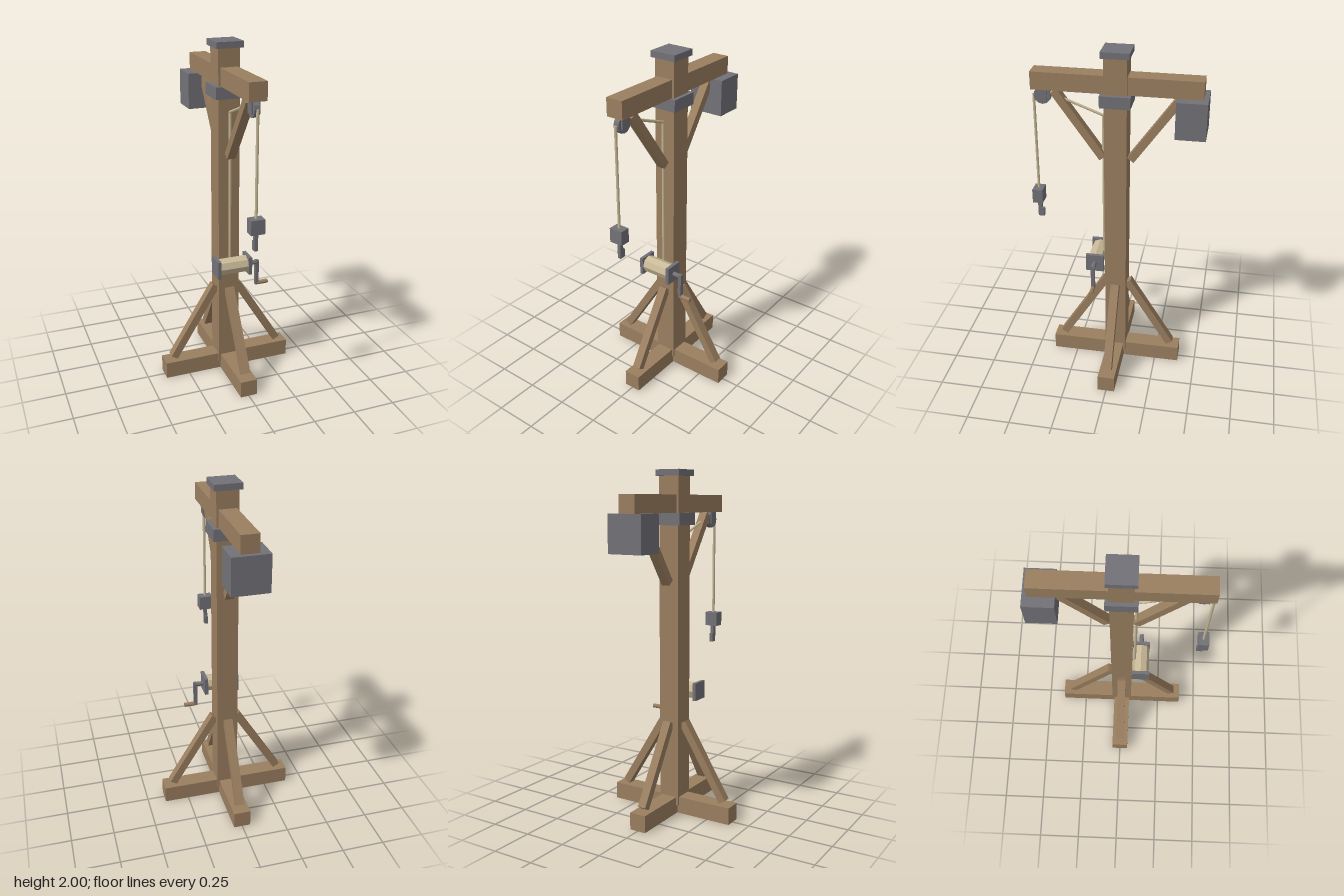
import * as THREE from 'three';

const material = (name, color) => {
  const m = new THREE.MeshStandardMaterial({ color });
  m.name = name;
  return m;
};

export function createModel() {
  const wood = material('wood', 0x9b7f60);
  const iron = material('iron', 0x737278);
  const rope = material('rope', 0xc9ba98);
  const crane = new THREE.Group();
  crane.name = 'crane';

  const add = (name, geometry, mat, x = 0, y = 0, z = 0, parent = crane) => {
    const mesh = new THREE.Mesh(geometry, mat);
    mesh.name = name;
    mesh.position.set(x, y, z);
    parent.add(mesh);
    return mesh;
  };
  // Box given by its lower and upper corners
  const box = (name, mat, [x0, y0, z0], [x1, y1, z1]) =>
    add(name, new THREE.BoxGeometry(x1 - x0, y1 - y0, z1 - z0), mat,
      (x0 + x1) / 2, (y0 + y1) / 2, (z0 + z1) / 2);
  // Cylinder lying along x
  const axle = (name, mat, r, sides, x0, x1, y, z) =>
    add(name, new THREE.CylinderGeometry(r, r, x1 - x0, sides).toNonIndexed().rotateZ(Math.PI / 2),
      mat, (x0 + x1) / 2, y, z).geometry.computeVertexNormals();
  // Square-ended timber between two points in the yz plane, turned about y
  const strut = (name, [z0, y0], [z1, y1], turn, thick) => {
    const dz = z1 - z0, dy = y1 - y0;
    const g = new THREE.BoxGeometry(0.05, Math.hypot(dz, dy), thick);
    g.rotateX(Math.atan2(dz, dy));
    g.translate(0, (y0 + y1) / 2, (z0 + z1) / 2);
    g.rotateY(turn);
    add(name, g, wood);
  };
  // Rope run between two points in the yz plane
  const ropeRun = (name, [z0, y0], [z1, y1]) => {
    const dz = z1 - z0, dy = y1 - y0;
    const g = new THREE.CylinderGeometry(0.008, 0.008, Math.hypot(dz, dy), 6);
    g.rotateX(Math.atan2(dz, dy));
    add(name, g, rope, 0, (y0 + y1) / 2, (z0 + z1) / 2);
  };

  // Crossed feet, post and its struts
  box('footAcross', wood, [-0.395, 0, -0.05], [0.395, 0.1, 0.05]);
  box('footAlong', wood, [-0.05, 0, -0.395], [0.05, 0.1, 0.395]);
  box('post', wood, [-0.0625, 0.05, -0.0625], [0.0625, 1.97, 0.0625]);
  for (let i = 0; i < 4; i++)
    strut('baseStrut', [0.336, 0.115], [0.067, 0.553], i * Math.PI / 2, 0.045);

  // Jib beam, braces, iron fittings and counterweight
  box('jib', wood, [-0.05, 1.763, -0.465], [0.05, 1.863, 0.465]);
  for (const turn of [0, Math.PI])
    strut('jibBrace', [0.078, 1.373], [0.345, 1.75], turn, 0.045);
  box('cap', iron, [-0.078, 1.965, -0.078], [0.078, 2, 0.078]);
  box('collar', iron, [-0.084, 1.695, -0.084], [0.084, 1.763, 0.084]);
  box('counterweight', iron, [-0.105, 1.555, -0.49], [0.105, 1.763, -0.325]);

  // Pulley
  axle('pulleyWheel', iron, 0.048, 12, -0.016, 0.016, 1.718, 0.41);
  box('pulleyBracket', iron, [-0.024, 1.692, 0.384], [0.024, 1.765, 0.436]);

  // Rope from hook over the pulley, down the post to the winch
  ropeRun('hangingRope', [0.461, 1.14], [0.461, 1.722]);
  ropeRun('slopingRope', [0.41, 1.748], [0.077, 1.622]);
  ropeRun('postRope', [0.077, 1.625], [0.077, 0.73]);

  // Hook block and hook
  box('hookBlock', iron, [-0.04, 1.06, 0.432], [0.04, 1.143, 0.492]);
  box('hookShank', iron, [-0.01, 1.0, 0.446], [0.01, 1.065, 0.47]);
  box('hookTip', iron, [-0.01, 0.958, 0.434], [0.01, 1.01, 0.47]);

  // Winch drum, side plates and crank
  axle('drum', rope, 0.05, 8, -0.088, 0.088, 0.72, 0.116);
  for (const s of [-1, 1])
    box('winchPlate', iron, [s * 0.095 - 0.01, 0.667, 0.063], [s * 0.095 + 0.01, 0.773, 0.169]);
  axle('crankShaft', iron, 0.014, 8, 0.1, 0.155, 0.718, 0.118);
  box('crankArm', iron, [0.143, 0.575, 0.107], [0.164, 0.73, 0.129]);
  axle('crankGrip', wood, 0.013, 8, 0.155, 0.224, 0.582, 0.118);

  return crane;
}
